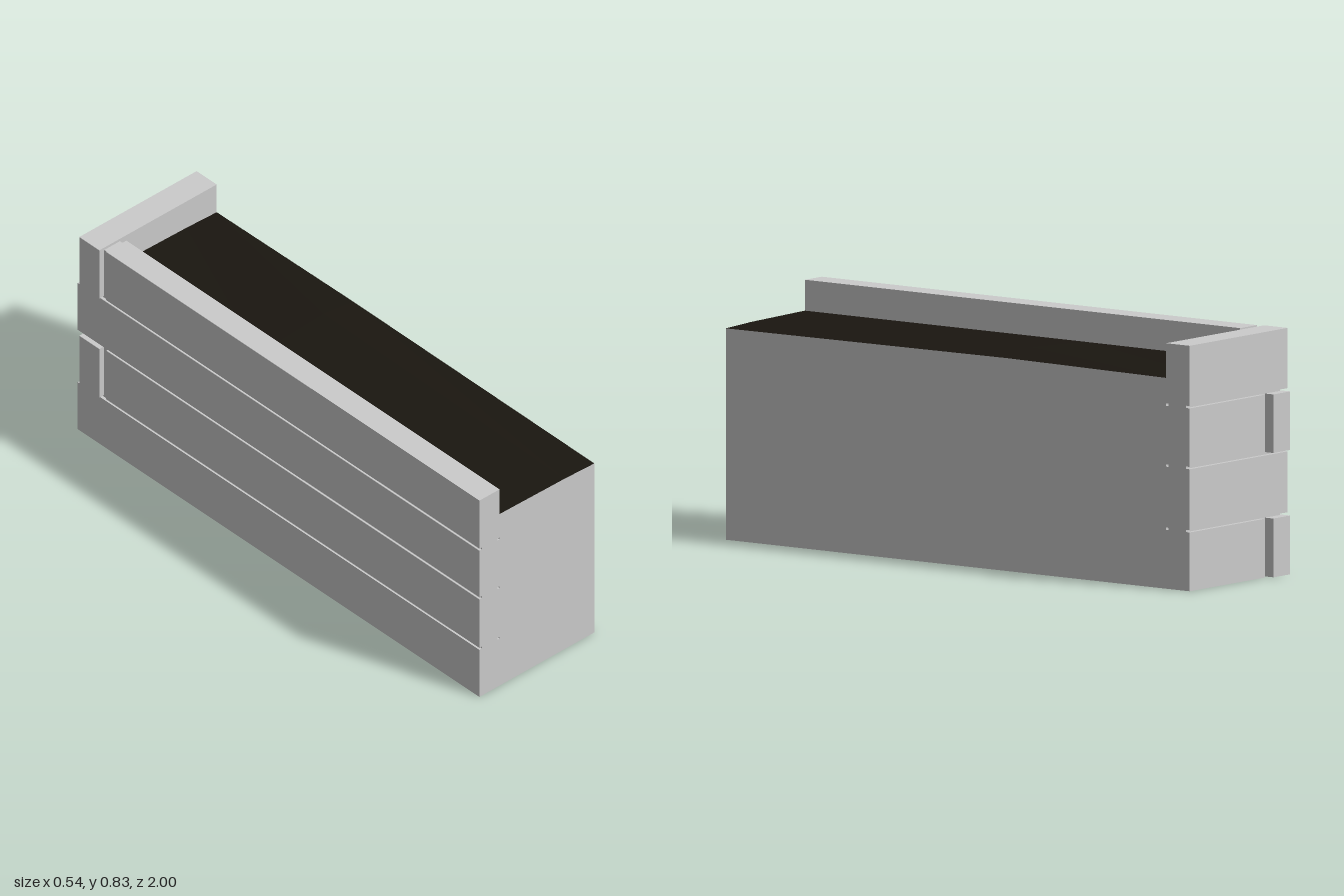
import * as THREE from 'three';

export function createModel() {
  const group = new THREE.Group();
  const grey = new THREE.MeshStandardMaterial({ color: 0xcccccc, flatShading: true });
  const soil = new THREE.MeshStandardMaterial({ color: 0x1a1610, flatShading: true });

  // Box given by its extents on each axis
  function block(name, [x0, x1], [y0, y1], [z0, z1]) {
    const mesh = new THREE.Mesh(new THREE.BoxGeometry(x1 - x0, y1 - y0, z1 - z0), grey);
    mesh.position.set((x0 + x1) / 2, (y0 + y1) / 2, (z0 + z1) / 2);
    mesh.name = name;
    group.add(mesh);
  }

  // Stacked planks whose ends alternate at the back corner
  const rows = [[0, 0.2], [0.208, 0.415], [0.423, 0.622], [0.63, 0.835]];
  rows.forEach((y, i) => {
    const sideRunsThrough = i % 2 === 0;
    block('sidePlank' + (i + 1), [-0.258, -0.166], y, [sideRunsThrough ? -1 : -0.858, 1]);
    block('backPlank' + (i + 1), [sideRunsThrough ? -0.143 : -0.269, 0.267], y, [-0.98, -0.88]);
  });

  // Recessed cores that form the floor of the grooves between planks
  block('sideCore', [-0.247, -0.175], [0, 0.825], [-0.965, 1]);
  block('backCore', [-0.247, 0.267], [0, 0.825], [-0.965, -0.89]);

  // Filled bed with a gently mounded soil top
  const xs = [-0.166, 0.13, 0.267];
  const zs = [-0.88, -0.2, 1];
  const heights = [
    [0.729, 0.723, 0.717],
    [0.73, 0.745, 0.724],
    [0.73, 0.725, 0.719],
  ];
  const geometry = new THREE.BoxGeometry(2, 2, 2, 2, 1, 2);
  const p = geometry.attributes.position;
  for (let i = 0; i < p.count; i++) {
    const col = Math.round(p.getX(i)) + 1;
    const row = Math.round(p.getZ(i)) + 1;
    p.setXYZ(i, xs[col], p.getY(i) > 0 ? heights[row][col] : 0, zs[row]);
  }
  geometry.computeVertexNormals();
  const bed = new THREE.Mesh(geometry, [grey, grey, soil, grey, grey, grey]);
  bed.name = 'soilBed';
  group.add(bed);

  return group;
}
